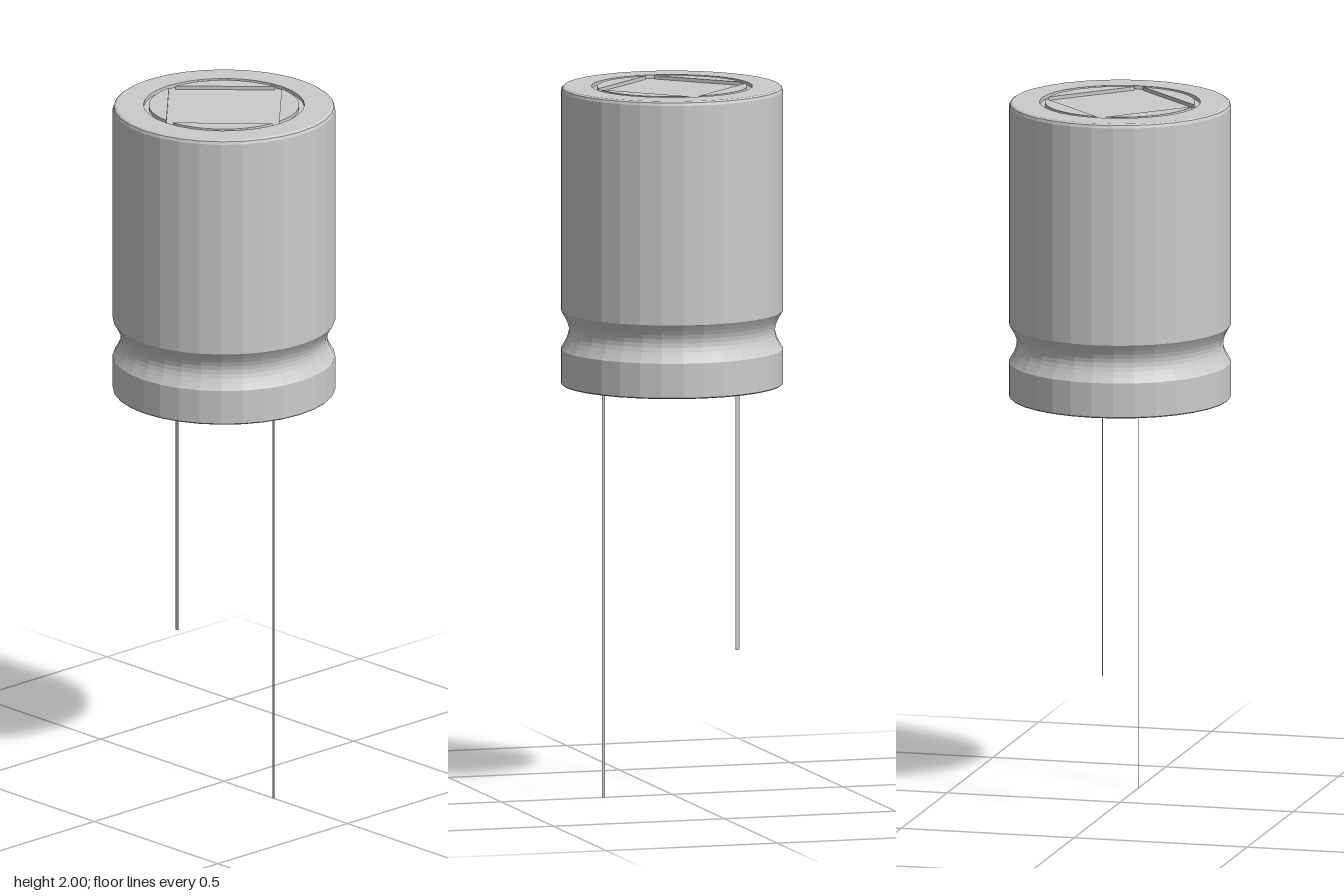
import * as THREE from 'three';

export function createModel() {
  const group = new THREE.Group();
  const flat = new THREE.MeshStandardMaterial({ color: 0xcccccc, flatShading: true });
  const thin = new THREE.MeshStandardMaterial({ color: 0xcccccc, side: THREE.DoubleSide });
  const add = (name, geometry, material) => {
    const mesh = new THREE.Mesh(geometry, material);
    mesh.name = name;
    group.add(mesh);
    return mesh;
  };

  const R = 0.311, bottom = 1.16, top = 2, recess = 0.01;

  // Can: recessed base, lower band, crimped neck, tall wall, bevelled rim, recessed lid
  const profile = [
    [0, bottom + recess], [0.23, bottom + recess], [0.23, bottom],
    [R - 0.003, bottom], [R, bottom + 0.003], [R, 1.26],
  ];
  for (let i = 0; i <= 8; i++) {
    const t = i / 8;
    profile.push([R - 0.004 - 0.018 * Math.sin(Math.PI * t), 1.266 + 0.096 * t]);
  }
  profile.push(
    [R, 1.368], [R, top - 0.012], [R - 0.003, top - 0.004], [R - 0.009, top],
    [0.225, top], [0.225, top - recess], [0, top - recess],
  );
  add('can', new THREE.LatheGeometry(profile.map(([r, y]) => new THREE.Vector2(r, y)), 32), flat);

  // Four raised lid quarters, leaving the ring and cross grooves between them
  const r = 0.21, gap = 0.013, a = Math.asin(gap / r);
  const shape = new THREE.Shape();
  shape.moveTo(gap, gap);
  shape.absarc(0, 0, r, a, Math.PI / 2 - a, false);
  shape.closePath();
  const quarter = new THREE.ExtrudeGeometry(shape, { depth: recess, bevelEnabled: false, curveSegments: 12 });
  quarter.rotateX(-Math.PI / 2);
  for (let i = 0; i < 4; i++) {
    const mesh = add('lidQuarter' + (i + 1), quarter, flat);
    mesh.position.y = top - recess;
    mesh.rotation.y = i * Math.PI / 2;
  }

  // Flat ribbon leads, one short and one long
  for (const [name, x, end, width] of [['shortLead', -0.191, 0.4, 0.012], ['longLead', 0.2, 0, 0.008]]) {
    const length = bottom + recess - end;
    add(name, new THREE.PlaneGeometry(width, length), thin).position.set(x, end + length / 2, 0);
  }

  return group;
}
